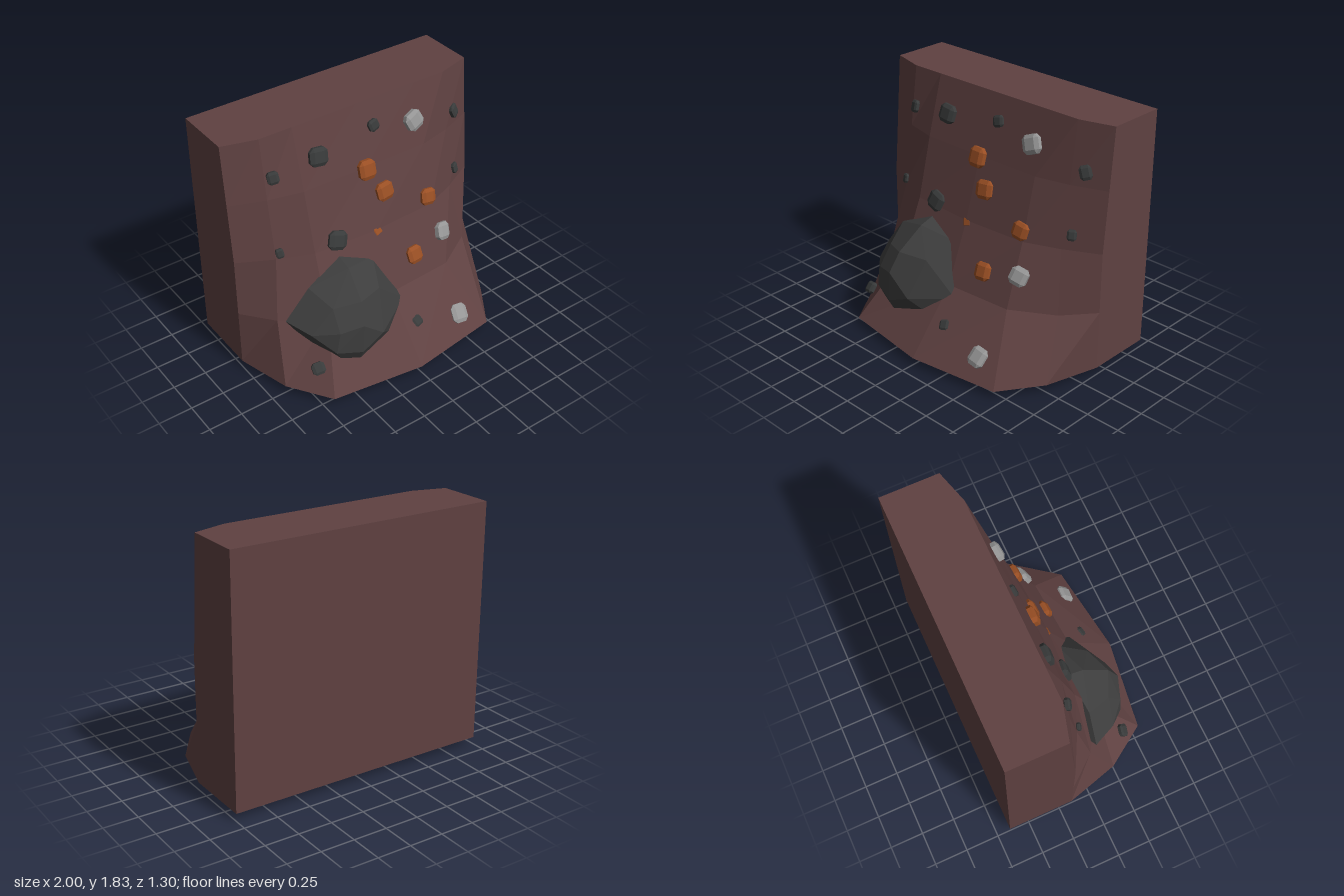
import * as THREE from 'three';
import { ConvexGeometry } from 'three/addons/geometries/ConvexGeometry.js';

const mat = (name, color) => {
  const m = new THREE.MeshStandardMaterial({ color });
  m.name = name;
  return m;
};

// Wall levels, bottom to top: y, then x,z of the side edge, outer and inner columns, then centre z
const LEVELS = [
  { y: 0.06, side: -0.15, outer: [0.89, 0.25], inner: [0.685, 0.555], mid: 0.65 },
  { y: 0.5, side: -0.15, outer: [0.82, 0.07], inner: [0.52, 0.25], mid: 0.285 },
  { y: 0.945, side: -0.15, outer: [0.75, -0.02], inner: [0.5, 0.08], mid: 0.11 },
  { y: 1.39, side: -0.185, outer: [0.75, -0.09], inner: [0.5, -0.03], mid: -0.025 },
  { y: 1.83, side: -0.22, outer: [0.75, -0.15], inner: [0.5, -0.15], mid: -0.15 },
];
const BACK = -0.65;

// Loft the horizontal sections and close both ends
function wallGeometry() {
  const rings = LEVELS.map(({ y, side, outer, inner, mid }) =>
    [[-1, side], [-outer[0], outer[1]], [-inner[0], inner[1]], [0, mid],
      inner, outer, [1, side], [1, BACK], [-1, BACK]].map(([x, z]) => [x, y, z]));
  const n = rings[0].length;
  const pos = [];
  const tri = (a, b, c) => pos.push(...a, ...b, ...c);
  for (let j = 0; j < rings.length - 1; j++) {
    for (let i = 0; i < n; i++) {
      const k = (i + 1) % n;
      const lo = rings[j], hi = rings[j + 1];
      tri(lo[i], lo[k], hi[k]);
      tri(lo[i], hi[k], hi[i]);
    }
  }
  const bottom = rings[0], top = rings[rings.length - 1];
  for (let i = 0; i < n - 2; i++) {
    tri(top[n - 1], top[i], top[i + 1]);
    tri(bottom[n - 1], bottom[i + 1], bottom[i]);
  }
  const g = new THREE.BufferGeometry();
  g.setAttribute('position', new THREE.Float32BufferAttribute(pos, 3));
  g.computeVertexNormals();
  return g;
}

// Faceted boulder half sunk into the wall
function boulderGeometry() {
  return new ConvexGeometry([
    [-0.79, 0.52, 0.13], [-0.61, 0.74, 0.15], [-0.33, 0.87, 0.11], [-0.07, 0.77, 0.15],
    [0.085, 0.43, 0.31], [-0.33, 0.835, 0.23], [-0.7, 0.47, 0.31], [-0.54, 0.65, 0.34],
    [-0.36, 0.68, 0.42], [-0.16, 0.66, 0.35], [-0.55, 0.5, 0.44], [-0.39, 0.53, 0.495],
    [-0.22, 0.38, 0.485], [-0.4, 0.3, 0.495], [-0.58, 0.34, 0.44], [-0.12, 0.3, 0.42],
    [-0.39, 0.005, 0.36], [-0.38, 0.5, -0.1], [-0.65, 0.3, 0.2], [-0.1, 0.25, 0.2],
  ].map((p) => new THREE.Vector3(...p)));
}

// Climbing hold: a cube with broad chamfers
function holdGeometry() {
  const pts = [];
  for (const a of [-1, 1]) for (const b of [-1, 1]) for (const c of [-1, 1]) {
    pts.push(new THREE.Vector3(a, b * 0.58, c * 0.55),
      new THREE.Vector3(a * 0.58, b, c * 0.55),
      new THREE.Vector3(a * 0.55, b * 0.6, c));
  }
  return new ConvexGeometry(pts);
}

// Each hold: x, y, z, half width, half height, roll
const HOLDS = {
  orangeHold: [
    [-0.005, 1.385, -0.01, 0.064, 0.07, 0], [0.11, 1.19, 0.035, 0.067, 0.066, 0.1],
    [0.47, 1.015, 0.07, 0.06, 0.06, -0.15], [0.005, 0.93, 0.095, 0.042, 0.04, 0.3],
    [0.255, 0.675, 0.205, 0.06, 0.063, 0.05],
  ],
  paleHold: [
    [0.435, 1.59, -0.07, 0.068, 0.067, 0.4], [0.545, 0.73, 0.16, 0.064, 0.064, -0.3],
    [0.69, 0.345, 0.25, 0.036, 0.042, 0.2], [0.47, 0.2, 0.475, 0.065, 0.07, -0.15],
  ],
  darkHold: [
    [-0.7, 1.55, -0.085, 0.04, 0.043, 0.15], [-0.355, 1.59, -0.075, 0.068, 0.065, -0.1],
    [0.11, 1.655, -0.095, 0.041, 0.041, 0.3], [0.845, 1.495, -0.13, 0.042, 0.05, 0.3],
    [0.815, 1.06, -0.05, 0.032, 0.038, 0], [-0.73, 1.0, 0.0, 0.028, 0.034, 0.2],
    [-0.32, 0.98, 0.08, 0.07, 0.068, -0.3], [-0.71, 0.245, 0.4, 0.046, 0.043, 0.2],
    [0.11, 0.285, 0.44, 0.04, 0.04, 0.3],
  ],
};

export function createModel() {
  const group = new THREE.Group();
  group.name = 'climbingWall';
  const add = (name, geometry, material) => {
    const mesh = new THREE.Mesh(geometry, material);
    mesh.name = name;
    group.add(mesh);
    return mesh;
  };

  add('wall', wallGeometry(), mat('reddish rock', 0x5f4141));
  add('boulder', boulderGeometry(), mat('charcoal', 0x3d3d3d));

  const materials = {
    orangeHold: mat('burnt orange', 0x9a4f24),
    paleHold: mat('pale grey', 0x969696),
    darkHold: mat('dark grey', 0x383a3a),
  };
  const hold = holdGeometry();
  for (const [name, list] of Object.entries(HOLDS)) {
    for (const [x, y, z, w, h, roll] of list) {
      const m = add(name, hold, materials[name]);
      // Lean each hold back with the slope and turn the outer ones sideways
      const lean = y > 0.945 ? 0.28 : y > 0.5 ? 0.39 : 0.68;
      const turn = Math.abs(x) > 0.75 ? 0.5 : Math.abs(x) > 0.52 ? 0.35 : 0.04;
      m.position.set(x, y, z);
      m.rotation.set(-lean, Math.sign(x) * turn, roll, 'YXZ');
      m.scale.set(w, h, Math.min(w, h) * 0.5);
    }
  }
  return group;
}
